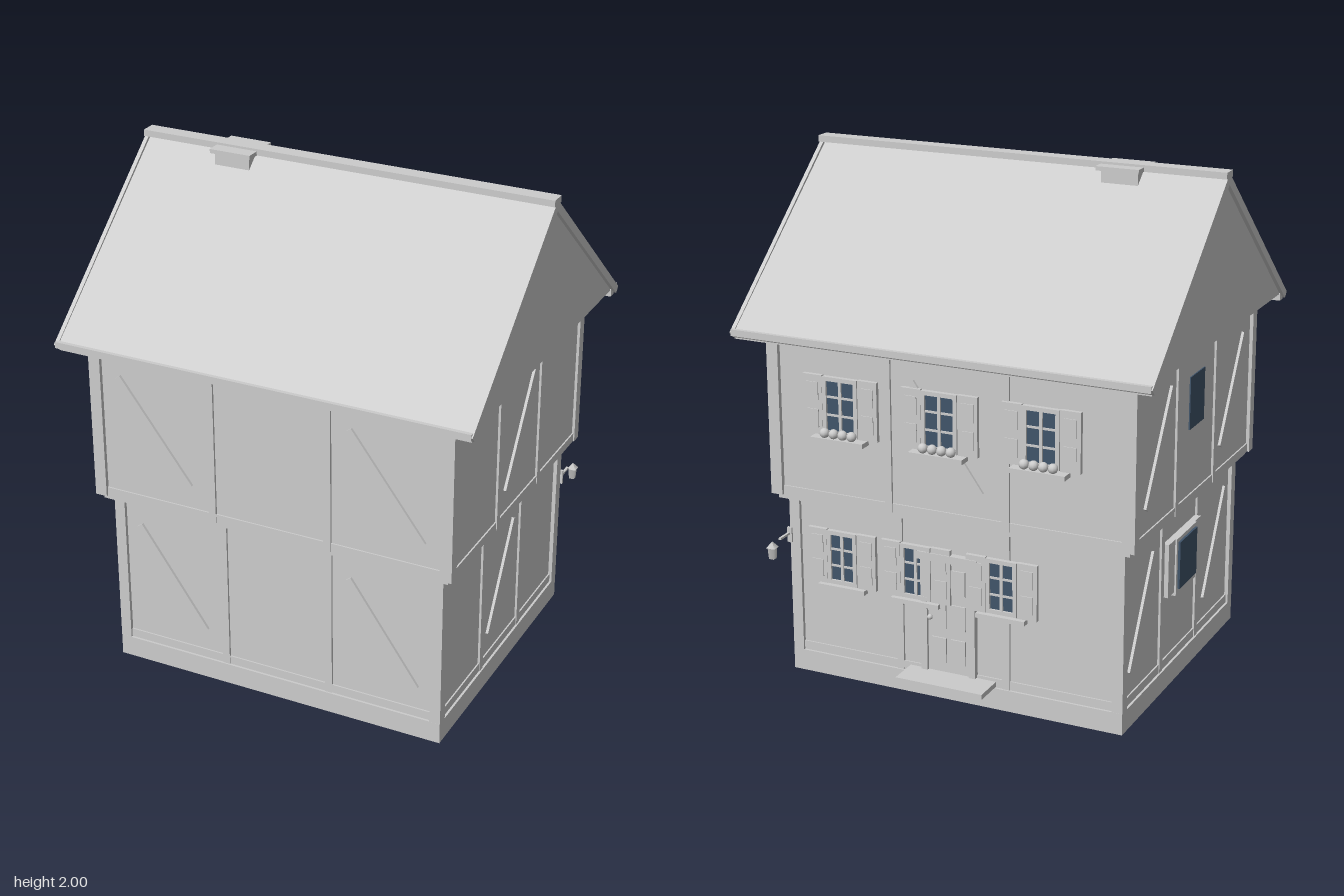
import * as THREE from 'three';

const plaster = new THREE.MeshStandardMaterial({ color: 0xcccccc });
plaster.name = 'paleGrey';
const glass = new THREE.MeshStandardMaterial({ color: 0x40546a });
glass.name = 'blueGlass';

function add(parent, name, geometry, material = plaster) {
  const mesh = new THREE.Mesh(geometry, material);
  mesh.name = name;
  parent.add(mesh);
  return mesh;
}

// Box given by its limits on each axis
function box(parent, name, x0, x1, y0, y1, z0, z1, material) {
  const mesh = add(parent, name, new THREE.BoxGeometry(x1 - x0, y1 - y0, z1 - z0), material);
  mesh.position.set((x0 + x1) / 2, (y0 + y1) / 2, (z0 + z1) / 2);
  return mesh;
}

// Diagonal timber on a wall, from one end to the other
function brace(wall, x0, y0, x1, y1, z) {
  const mesh = add(wall, 'brace', new THREE.BoxGeometry(Math.hypot(x1 - x0, y1 - y0), 0.026, 0.016));
  mesh.position.set((x0 + x1) / 2, (y0 + y1) / 2, z);
  mesh.rotation.z = Math.atan2(y1 - y0, x1 - x0);
}

// Wall group: local x runs along the wall, local z points outward
function wallGroup(house, name, angle) {
  const wall = new THREE.Group();
  wall.name = name;
  wall.rotation.y = angle;
  house.add(wall);
  return wall;
}

// Posts and rails of one storey on one wall
function frame(wall, half, post, y0, y1, face) {
  for (const s of [-1, 1]) {
    box(wall, 'wallPost', s * post - 0.015, s * post + 0.015, y0, y1, face - 0.02, face + 0.009);
  }
  box(wall, 'bottomRail', -half, half, y0, y0 + 0.035, face - 0.02, face + 0.006);
  box(wall, 'topRail', -half, half, y1 - 0.03, y1, face - 0.02, face + 0.006);
}

// Glazed window with frame, bars, panelled shutters and a planter or sill
function windowUnit(wall, x, y, z, { flowers = false, shutters = true, width = 0.13, height = 0.2 } = {}) {
  const g = new THREE.Group();
  g.name = 'window';
  g.position.set(x, y, z);
  wall.add(g);
  const w = width / 2, h = height / 2;
  box(g, 'pane', -w, w, -h, h, 0, 0.009, glass);
  for (const s of [-1, 1]) {
    box(g, 'frameSide', s * w - 0.008, s * w + 0.008, -h, h, 0, 0.018);
    box(g, 'frameRail', -w - 0.008, w + 0.008, s * h - 0.008, s * h + 0.008, 0, 0.018);
    box(g, 'crossBar', -w, w, s * h / 3 - 0.004, s * h / 3 + 0.004, 0, 0.014);
    if (!shutters) continue;
    const cx = s * (w + 0.05);
    box(g, 'shutter', cx - 0.04, cx + 0.04, -h - 0.01, h + 0.01, 0, 0.016);
    for (const t of [-1, 1]) {
      box(g, 'shutterPanel', cx - 0.025, cx + 0.025, t * h / 2 - 0.035, t * h / 2 + 0.035, 0.014, 0.02);
    }
  }
  box(g, 'middleBar', -0.006, 0.006, -h, h, 0, 0.016);
  if (!shutters) return;
  box(g, 'windowSill', -w - 0.045, w + 0.045, -h - 0.03, -h - 0.012, 0, flowers ? 0.052 : 0.03);
  if (!flowers) return;
  for (let i = 0; i < 4; i++) {
    const bloom = add(g, 'flower', new THREE.SphereGeometry(0.019, 10, 8));
    bloom.position.set((i - 1.5) * 0.038, -h + 0.005, 0.035);
  }
}

// Gable-shaped solid, extruded along x
function gable(house, name, points, x0, x1) {
  const shape = new THREE.Shape(points.map(([z, y]) => new THREE.Vector2(-z, y)));
  const mesh = add(house, name, new THREE.ExtrudeGeometry(shape, { depth: x1 - x0, bevelEnabled: false }));
  mesh.rotation.y = Math.PI / 2;
  mesh.position.x = x0;
}

export function createModel() {
  const house = new THREE.Group();
  house.name = 'timberHouse';

  // Storeys, plinth and jetty beam
  box(house, 'plinth', -0.695, 0.69, 0, 0.085, -0.585, 0.592);
  box(house, 'lowerStorey', -0.68, 0.675, 0.08, 0.73, -0.57, 0.577);
  box(house, 'jettyBeam', -0.725, 0.72, 0.715, 0.737, -0.61, 0.617);
  box(house, 'upperStorey', -0.735, 0.73, 0.735, 1.385, -0.61, 0.62);
  for (const sx of [-1, 1]) {
    for (const sz of [-1, 1]) {
      const px = sx * 0.671 - 0.0025, pz = sz * 0.566 + 0.0035;
      box(house, 'lowerCornerPost', px - 0.022, px + 0.022, 0.085, 0.72, pz - 0.022, pz + 0.022);
      const qx = sx * 0.721 - 0.004, qz = sz * 0.61 + 0.004;
      box(house, 'upperCornerPost', qx - 0.024, qx + 0.024, 0.735, 1.385, qz - 0.022, qz + 0.022);
    }
  }

  // Front wall
  const front = wallGroup(house, 'frontWall', 0);
  frame(front, 0.66, 0.222, 0.085, 0.73, 0.577);
  frame(front, 0.71, 0.24, 0.735, 1.385, 0.62);
  for (const x of [-0.45, 0.445]) brace(front, x - 0.14, 0.61, x + 0.14, 0.21, 0.58);
  for (const x of [-0.482, 0.475]) brace(front, x - 0.148, 1.255, x + 0.148, 0.86, 0.623);

  // Side wall with middle braces
  const leftWall = wallGroup(house, 'leftWall', Math.PI / 2);
  frame(leftWall, 0.56, 0.187, 0.085, 0.73, 0.675);
  frame(leftWall, 0.6, 0.2, 0.735, 1.385, 0.73);
  brace(leftWall, -0.12, 0.21, 0.11, 0.61, 0.678);
  brace(leftWall, -0.13, 0.86, 0.125, 1.255, 0.733);

  // Side wall with outer braces and two windows
  const rightWall = wallGroup(house, 'rightWall', -Math.PI / 2);
  frame(rightWall, 0.56, 0.187, 0.085, 0.73, 0.68);
  frame(rightWall, 0.6, 0.2, 0.735, 1.385, 0.735);
  for (const s of [-1, 1]) {
    const x = s * 0.385;
    brace(rightWall, x - 0.11, 0.21, x + 0.11, 0.61, 0.683);
    brace(rightWall, x - 0.12, 0.86, x + 0.12, 1.255, 0.738);
    box(rightWall, 'sideShutter', s * 0.135 - 0.035, s * 0.135 + 0.035, 0.385, 0.6, 0.68, 0.705);
  }
  box(rightWall, 'sideWindowFrame', -0.105, 0.105, 0.37, 0.6, 0.68, 0.712);
  box(rightWall, 'sideWindowPane', -0.09, 0.09, 0.395, 0.585, 0.712, 0.721, glass);
  box(rightWall, 'upperSidePane', -0.075, 0.075, 1.03, 1.235, 0.731, 0.74, glass);

  // Back wall with windows, seen with x mirrored
  const back = wallGroup(house, 'backWall', Math.PI);
  frame(back, 0.66, 0.222, 0.085, 0.73, 0.57);
  frame(back, 0.71, 0.24, 0.735, 1.385, 0.61);
  brace(back, -0.14, 1.255, 0.14, 0.86, 0.612);
  for (const x of [-0.43, -0.02, 0.385]) windowUnit(back, x, 1.12, 0.615, { flowers: true, height: 0.21 });
  for (const x of [-0.46, -0.145, 0.21]) windowUnit(back, x, 0.5, 0.578, { width: 0.11 });

  // Door with frame, panels, knob and step
  const door = new THREE.Group();
  door.name = 'door';
  door.position.set(-0.012, 0, 0.57);
  back.add(door);
  box(door, 'doorLeaf', -0.09, 0.09, 0.11, 0.56, 0, 0.012);
  for (const s of [-1, 1]) {
    box(door, 'doorJamb', s * 0.1 - 0.013, s * 0.1 + 0.013, 0.11, 0.575, 0, 0.024);
    for (const y of [0.2, 0.34, 0.48]) {
      box(door, 'doorPanel', s * 0.04 - 0.03, s * 0.04 + 0.03, y - 0.05, y + 0.05, 0.01, 0.018);
    }
  }
  box(door, 'doorLintel', -0.125, 0.125, 0.56, 0.59, 0, 0.028);
  add(door, 'doorKnob', new THREE.SphereGeometry(0.011, 10, 8)).position.set(-0.075, 0.33, 0.022);
  box(back, 'doorStep', -0.18, 0.18, 0.088, 0.108, 0.56, 0.7);

  // Hanging lantern on the back corner
  box(house, 'lanternArm', 0.687, 0.697, 0.562, 0.57, -0.66, -0.58);
  box(house, 'lanternPlate', 0.68, 0.7, 0.53, 0.59, -0.592, -0.582);
  const lantern = add(house, 'lanternBody', new THREE.CylinderGeometry(0.019, 0.015, 0.045, 4));
  lantern.position.set(0.7, 0.523, -0.702);
  lantern.rotation.y = Math.PI / 4;
  const cap = add(house, 'lanternCap', new THREE.ConeGeometry(0.025, 0.025, 4));
  cap.position.set(0.7, 0.558, -0.702);
  cap.rotation.y = Math.PI / 4;

  // Roof: solid gable, covering, verge boards and eaves
  gable(house, 'gableSolid', [[-0.69, 1.38], [0, 1.96], [0.69, 1.38]], -0.825, 0.825);
  const chevron = (top, tip) => [[-0.7, 1.36], [-tip, 1.382], [0, top], [tip, 1.382], [0.7, 1.36], [0, 1.95]];
  gable(house, 'roofCovering', chevron(1.98, 0.715), -0.826, 0.826);
  for (const s of [-1, 1]) {
    gable(house, 'vergeBoard', chevron(1.993, 0.72), s * 0.832 - 0.008, s * 0.832 + 0.008);
    const z = s * 0.712;
    box(house, 'eaveBoard', -0.835, 0.835, 1.37, 1.395, z - 0.008, z + 0.008);
    box(house, 'soffitBatten', -0.83, 0.83, 1.355, 1.385, s * 0.683 - 0.017, s * 0.683 + 0.017);
  }
  box(house, 'ridgeBeam', -0.84, 0.84, 1.975, 2, -0.031, 0.031);

  // Chimney
  box(house, 'chimneyStack', -0.51, -0.365, 1.92, 1.978, -0.062, 0.066);
  box(house, 'chimneyCap', -0.52, -0.35, 1.975, 1.991, -0.08, 0.086);

  return house;
}
